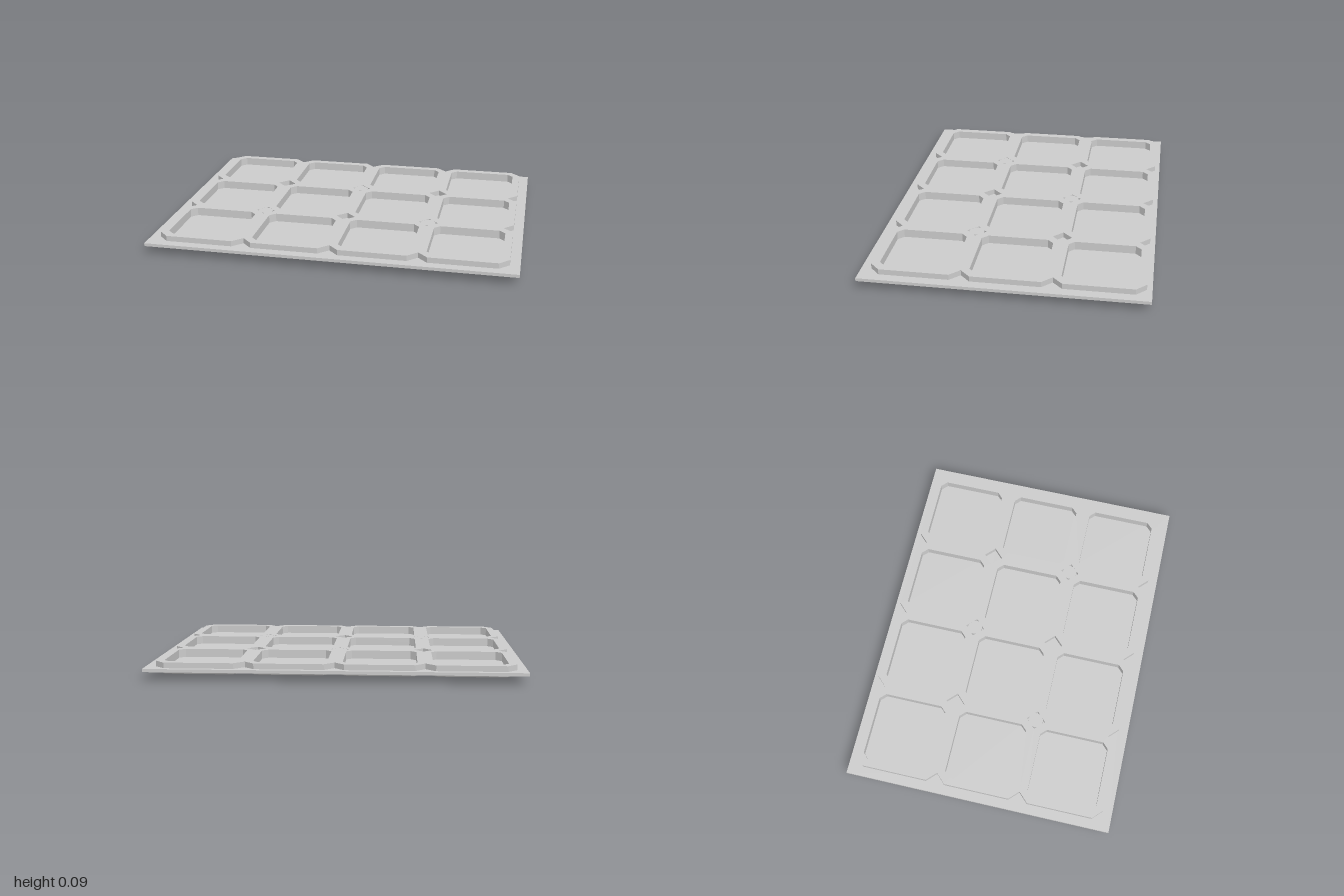
import * as THREE from 'three';

const PITCH = 0.473, ZOFF = -0.0125;
const BASE = 0.045, PLATE_TOP = 0.062, TOP = 0.092;
const mat = new THREE.MeshStandardMaterial({ color: 0xcccccc, flatShading: true });
const smooth = new THREE.MeshStandardMaterial({ color: 0xcccccc });

// Chamfered square, counter-clockwise, centred on (cx, cz)
function octagon(cx, cz, h, c) {
  const k = h - c;
  return [[h, -k], [h, k], [k, h], [-k, h], [-h, k], [-h, -k], [-k, -h], [k, -h]]
    .map(([x, z]) => new THREE.Vector2(cx + x, cz + z));
}

// Extrude a plan shape (drawn in x, -z) upwards between two heights
function slab(shape, y0, y1) {
  const g = new THREE.ExtrudeGeometry(shape, { depth: y1 - y0, bevelEnabled: false, curveSegments: 6 });
  return g.rotateX(-Math.PI / 2).translate(0, y0, 0);
}

// Solid pad lofted through octagonal rings from bottom to top
function padGeometry(rings) {
  const pos = [], idx = [];
  rings.forEach(([h, c, y]) => octagon(0, 0, h, c).forEach(p => pos.push(p.x, y, -p.y)));
  for (let r = 0; r < rings.length - 1; r++) {
    for (let i = 0; i < 8; i++) {
      const j = (i + 1) % 8, a = r * 8 + i, b = r * 8 + j;
      idx.push(a, b, b + 8, a, b + 8, a + 8);
    }
  }
  const t = (rings.length - 1) * 8;
  for (let i = 1; i < 7; i++) {
    idx.push(0, i + 1, i);
    idx.push(t, t + i, t + i + 1);
  }
  const g = new THREE.BufferGeometry();
  g.setAttribute('position', new THREE.Float32BufferAttribute(pos, 3));
  g.setIndex(idx);
  g.computeVertexNormals();
  return g;
}

export function createModel() {
  const group = new THREE.Group();
  const add = (name, geo, m = mat) => {
    const mesh = new THREE.Mesh(geo, m);
    mesh.name = name;
    group.add(mesh);
    return mesh;
  };

  // Cell centres in plan coordinates (x, -z)
  const cells = [];
  for (let r = 0; r < 3; r++)
    for (let c = 0; c < 4; c++) cells.push([(c - 1.5) * PITCH, (r - 1) * PITCH - ZOFF]);
  const pockets = () => cells.map(([x, v]) => new THREE.Path(octagon(x, v, 0.195, 0.032)));

  // Flat base plate, open under the pockets
  const plate = new THREE.Shape([[-1, -0.75], [1, -0.75], [1, 0.75], [-1, 0.75]].map(p => new THREE.Vector2(...p)));
  plate.holes = pockets();
  add('basePlate', slab(plate, BASE, PLATE_TOP));

  // Raised lattice: outline notched where cells meet
  const N = 0.053, W = 2 * PITCH, H = 1.5 * PITCH;
  const outline = [];
  const side = (n, ax, ay, dx, dy) => {
    // one straight side starting at corner (ax, ay), inward normal (-dy, dx)
    const put = (t, inn) => outline.push(new THREE.Vector2(ax + dx * t - dy * inn, ay - ZOFF + dy * t + dx * inn));
    put(N, 0);
    for (let i = 1; i < n; i++) {
      put(i * PITCH - N, 0);
      put(i * PITCH, N);
      put(i * PITCH + N, 0);
    }
    put(n * PITCH - N, 0);
  };
  side(4, -W, -H, 1, 0);
  side(3, W, -H, 0, 1);
  side(4, W, H, -1, 0);
  side(3, -W, H, 0, -1);
  const lattice = new THREE.Shape(outline);
  lattice.holes = pockets();

  // Diamond sockets at the inner crossings; every other one carries a foot
  const footProfile = [[0, 0], [0.03, 0], [0.038, 0.003], [0.043, 0.01], [0.044, 0.018], [0.044, BASE + 0.005]]
    .map(p => new THREE.Vector2(...p));
  for (let r = 0; r < 2; r++) {
    for (let c = 0; c < 3; c++) {
      const x = (c - 1) * PITCH, v = (r - 0.5) * PITCH - ZOFF;
      lattice.holes.push(new THREE.Path([[N, 0], [0, N], [-N, 0], [0, -N]]
        .map(([a, b]) => new THREE.Vector2(x + a, v + b))));
      if ((r + c) % 2 === 0) {
        add('foot', new THREE.LatheGeometry(footProfile, 32), smooth).position.set(x, 0, -v);
        const h = TOP - 0.0005 - BASE;
        add('footPost', new THREE.CylinderGeometry(0.041, 0.041, h, 32), smooth).position.set(x, BASE + h / 2, -v);
      }
    }
  }
  add('lattice', slab(lattice, PLATE_TOP, TOP));

  // Rounded pads under each cell, closing the pocket floors
  const pad = padGeometry([[0.2, 0.036, 0.027], [0.217, 0.043, 0.029], [0.23, 0.049, 0.035], [0.235, 0.053, BASE + 0.001]]);
  cells.forEach(([x, v]) => add('cellPad', pad).position.set(x, 0, -v));
  return group;
}
